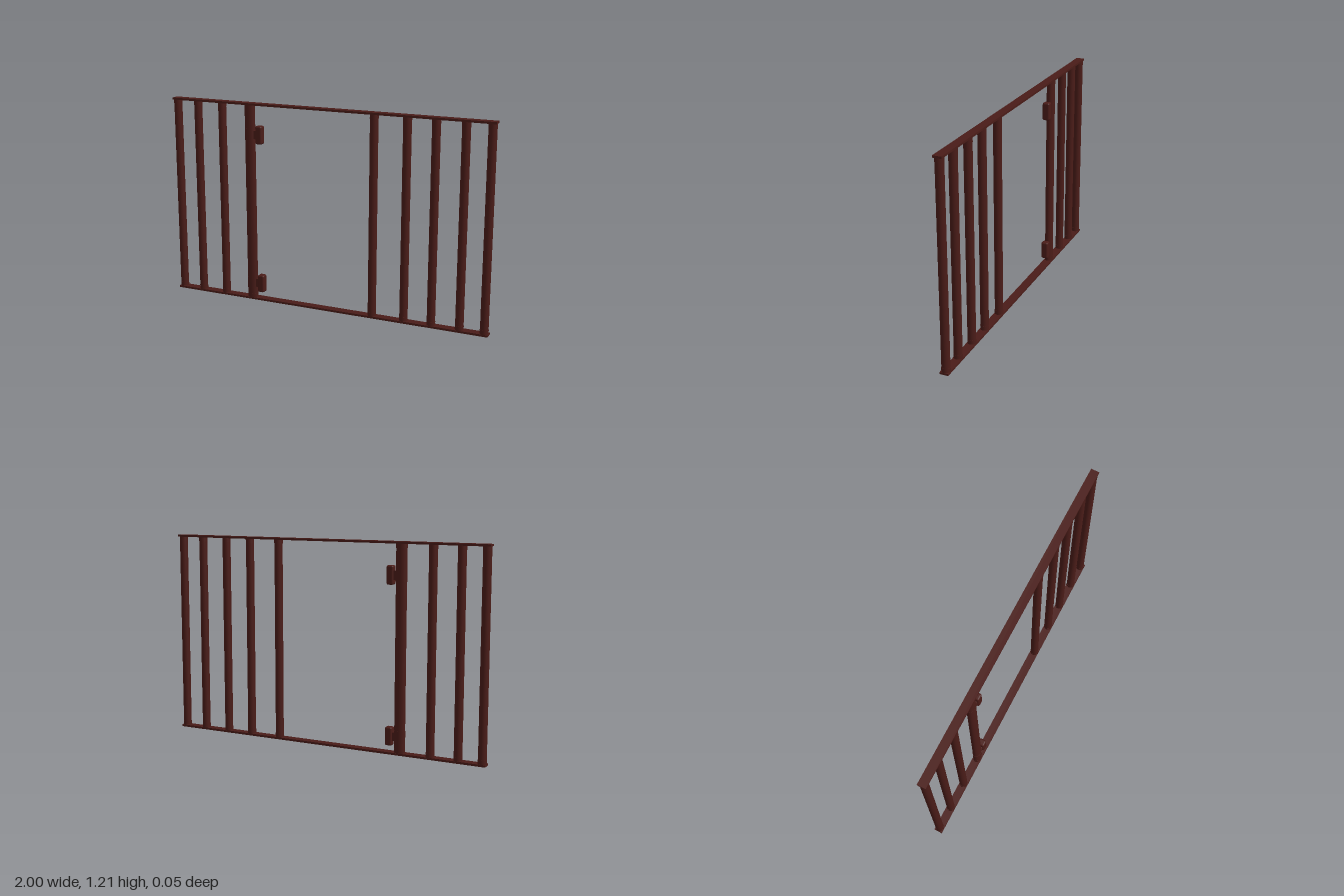
import * as THREE from 'three';
import { RoundedBoxGeometry } from 'three/addons/geometries/RoundedBoxGeometry.js';

const H = 1.205, RAIL = 0.012, DEPTH = 0.05;

export function createModel() {
  const group = new THREE.Group();
  const material = new THREE.MeshStandardMaterial({ color: 0x4a1c18 });

  function add(name, geometry, x, y, z = 0) {
    const mesh = new THREE.Mesh(geometry, material);
    mesh.name = name;
    mesh.position.set(x, y, z);
    group.add(mesh);
    return mesh;
  }

  // Upright round bar with a slight collar where it meets each rail
  function addBar(name, x, width) {
    const bar = new THREE.CylinderGeometry(0.5, 0.5, H - RAIL, 20);
    bar.scale(width, 1, 0.048);
    add(name, bar, x, H / 2);
    for (const y of [RAIL + 0.012, H - RAIL - 0.012]) {
      const collar = new THREE.CylinderGeometry(0.5, 0.5, 0.024, 20);
      collar.scale(width + 0.002, 1, DEPTH);
      add(name + 'Collar', collar, x, y);
    }
  }

  // Flat top and bottom rails
  for (const [name, y] of [['bottomRail', RAIL / 2], ['topRail', H - RAIL / 2]]) {
    add(name, new THREE.BoxGeometry(2, RAIL, DEPTH), 0, y);
  }

  // Fence bars either side of the opening
  for (const x of [-0.975, -0.835, -0.67, 0.3, 0.496, 0.662, 0.83, 0.974]) {
    addBar('bar', x, 0.048);
  }

  // Thicker hinge post
  const postX = -0.484;
  addBar('hingePost', postX, 0.064);

  // Hinges: sleeve on the post, short neck and rounded block
  for (const y of [0.103, 1.018]) {
    const sleeve = new THREE.CylinderGeometry(0.5, 0.5, 0.07, 20);
    sleeve.scale(0.066, 1, DEPTH);
    add('hingeSleeve', sleeve, postX, y);
    add('hingeNeck', new THREE.BoxGeometry(0.05, 0.05, 0.026), -0.455, y);
    add('hingeBlock', new RoundedBoxGeometry(0.042, 0.108, 0.044, 2, 0.01), -0.421, y);
  }

  return group;
}
